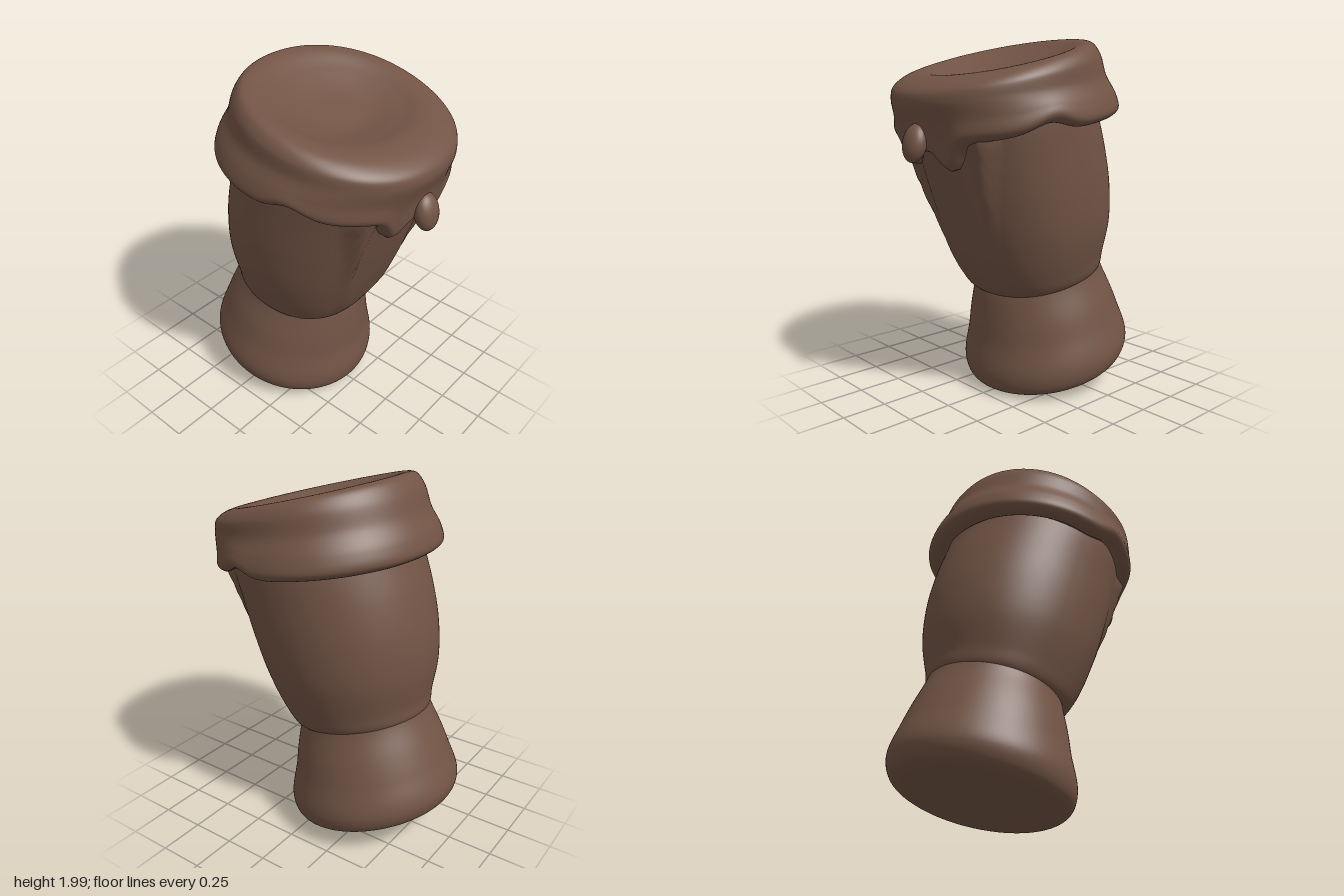
import * as THREE from 'three';

const SEG = 112, STEPS = 8;
const gauss = (v, w) => Math.exp(-(v * v) / (w * w));
const smooth = THREE.MathUtils.smoothstep;
const power = (v, p) => Math.sign(v) * Math.abs(v) ** p;

// Skin of tilted rings. Each ring: [front z, front y, back z, back y, half width].
// shape(point, u, angle) may move a vertex; u counts rings from the first.
function loft(rings, frontPower, backPower, shape) {
  const front = new THREE.CatmullRomCurve3(rings.map(r => new THREE.Vector3(r[4], r[1], r[0])));
  const back = new THREE.CatmullRomCurve3(rings.map(r => new THREE.Vector3(r[4], r[3], r[2])));
  const rows = (rings.length - 1) * STEPS;
  const pos = [], index = [];
  for (let i = 0; i <= rows; i++) {
    const f = front.getPoint(i / rows), b = back.getPoint(i / rows);
    for (let j = 0; j < SEG; j++) {
      const a = (j / SEG) * Math.PI * 2;
      const p = Math.cos(a) > 0 ? frontPower : backPower;
      const c = power(Math.cos(a), p), s = power(Math.sin(a), p);
      const v = new THREE.Vector3(
        Math.max(f.x, 0) * s,
        (f.y + b.y) / 2 + c * (f.y - b.y) / 2,
        (f.z + b.z) / 2 + c * (f.z - b.z) / 2);
      if (shape) shape(v, i / STEPS, a, f);
      pos.push(v.x, v.y, v.z);
      if (i < rows) {
        const k = i * SEG + j, n = i * SEG + (j + 1) % SEG;
        index.push(k, n, n + SEG, k, n + SEG, k + SEG);
      }
    }
  }
  const g = new THREE.BufferGeometry();
  g.setAttribute('position', new THREE.Float32BufferAttribute(pos, 3));
  g.setIndex(index);
  g.computeVertexNormals();
  return g;
}

export function createModel() {
  const group = new THREE.Group();
  const brown = new THREE.MeshStandardMaterial({ color: 0x725445 });
  brown.name = 'brown';
  const add = (name, geometry) => {
    const m = new THREE.Mesh(geometry, brown);
    m.name = name;
    group.add(m);
    return m;
  };

  // Flared foot with a rounded lower edge
  add('foot', loft([
    [-0.24, 0.10, -0.24, 0.10, 0],
    [0.05, 0.03, -0.53, 0.175, 0.32],
    [0.15, 0.008, -0.64, 0.20, 0.42],
    [0.215, 0.04, -0.70, 0.24, 0.47],
    [0.24, 0.12, -0.72, 0.32, 0.49],
    [0.22, 0.30, -0.66, 0.48, 0.45],
    [0.213, 0.42, -0.61, 0.59, 0.42],
    [0.20, 0.56, -0.545, 0.72, 0.375],
    [0.185, 0.64, -0.52, 0.78, 0.36],
  ], 1, 1));

  // Bowl with a flat, slightly raised and folded panel at the front
  add('bowl', loft([
    [0.12, 0.58, -0.47, 0.72, 0.31],
    [0.20, 0.59, -0.53, 0.745, 0.37],
    [0.28, 0.69, -0.538, 0.83, 0.41],
    [0.38, 0.90, -0.56, 1.01, 0.467],
    [0.465, 1.12, -0.545, 1.22, 0.493],
    [0.54, 1.34, -0.495, 1.43, 0.50],
    [0.60, 1.52, -0.43, 1.62, 0.50],
    [0.61, 1.58, -0.41, 1.70, 0.49],
  ], 0.88, 1, (v, u, a, f) => {
    if (Math.cos(a) <= 0) return;
    const width = THREE.MathUtils.clamp(0.18 + (v.y - 0.72) * 0.25, 0, 0.36);
    const inside = (1 - smooth(Math.abs(v.x), width - 0.03, width + 0.015)) * smooth(u, 1.2, 2.5);
    const rise = smooth(u, 2, 4);
    const flat = f.z - 0.35 * v.x * v.x - 0.022 * rise * gauss(Math.abs(v.x) - 0.21, 0.035);
    v.z += (Math.max(flat, v.z - 0.02) - v.z) * inside;
  }));

  // Draped skin: tucked lip, bulging hem, rounded rim and sunken top
  add('drumSkin', loft([
    [0.50, 1.53, -0.39, 1.67, 0.45],
    [0.60, 1.46, -0.455, 1.605, 0.555],
    [0.66, 1.49, -0.52, 1.645, 0.605],
    [0.67, 1.57, -0.505, 1.72, 0.592],
    [0.695, 1.65, -0.45, 1.82, 0.556],
    [0.685, 1.70, -0.405, 1.93, 0.547],
    [0.62, 1.75, -0.355, 1.99, 0.51],
    [0.50, 1.785, -0.29, 1.99, 0.44],
    [0.38, 1.775, -0.18, 1.925, 0.33],
    [0.24, 1.765, -0.03, 1.845, 0.17],
    [0.11, 1.80, 0.11, 1.80, 0],
  ], 0.93, 0.95, (v, u, a) => {
    const w = 1 - smooth(u, 1.8, 4);
    if (Math.cos(a) > 0) {
      // Hanging drips along the front hem
      const drip = w * (0.11 * gauss(v.x + 0.17, 0.06) + 0.12 * gauss(v.x - 0.15, 0.065)
        + 0.06 * gauss(v.x, 0.24));
      v.y -= drip * 0.94;
      v.z -= drip * 0.3;
    }
    // Raised scallop in the hem on each side
    if (Math.abs(v.x) > 0.3) v.y += 0.05 * w * gauss(v.z - 0.26, 0.11);
  }));

  // Small lump hanging at the centre of the hem
  const lump = add('hemLump', new THREE.SphereGeometry(1, 28, 20));
  lump.scale.set(0.075, 0.10, 0.055);
  lump.position.set(-0.015, 1.45, 0.668);
  lump.rotation.x = -0.22;

  return group;
}
